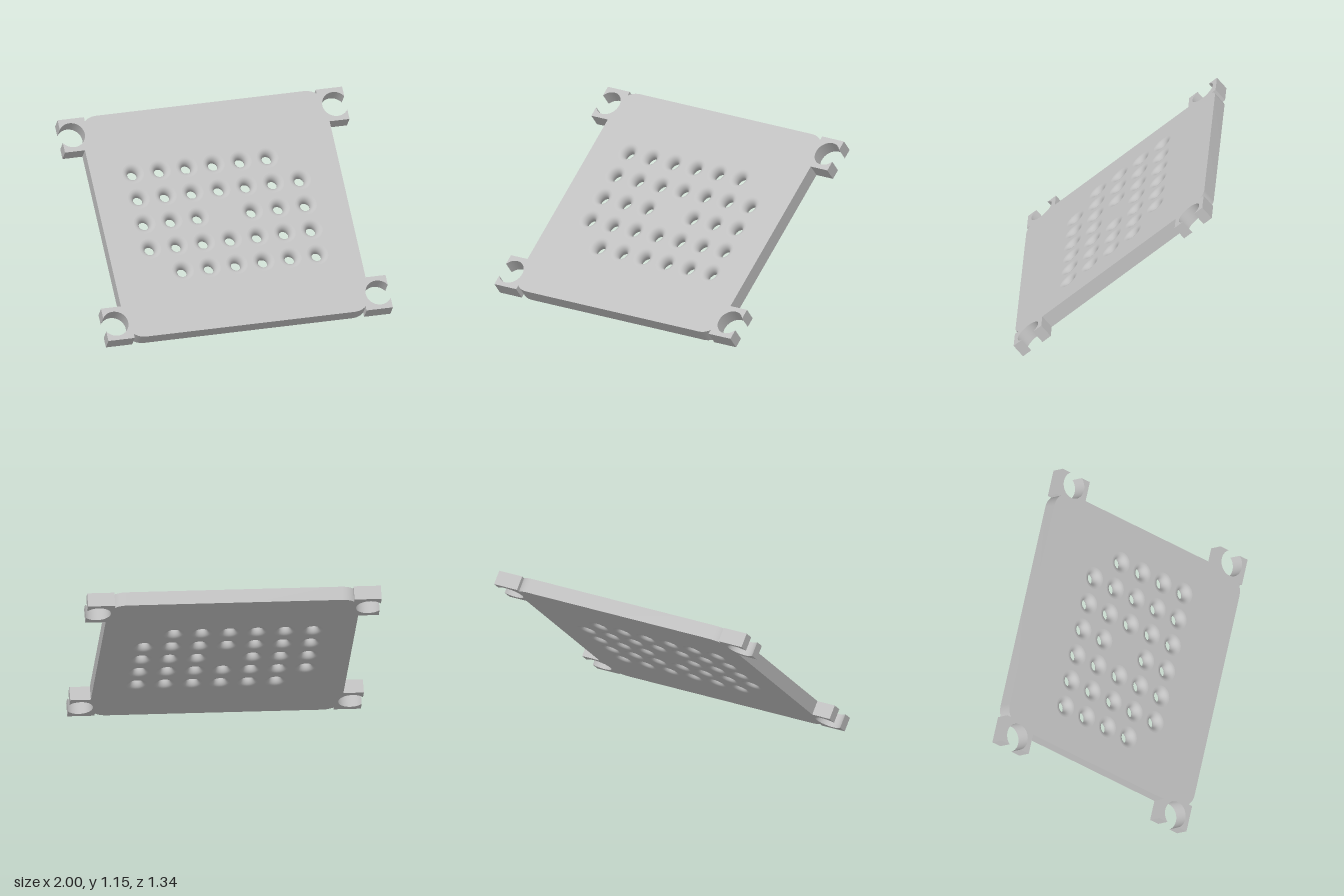
import * as THREE from 'three';
import { toCreasedNormals } from 'three/addons/utils/BufferGeometryUtils.js';

const HALF = 0.835;        // half length of the plate along the slope
const T = 0.05;            // half thickness
const PITCH = 0.189;       // spacing of the small holes
const RIM = 0.075, THROAT = 0.033, SEGMENTS = 24;

// Outline of one corner: rounded plate end, notch, and tab with an open round socket
function cornerOutline() {
  const pts = [];
  for (let i = 0; i <= 6; i++) {
    const a = (i / 6) * Math.PI * 0.3;
    pts.push([0.73 + 0.085 * Math.sin(a) / Math.sin(Math.PI * 0.3),
      HALF - 0.032 * (1 - Math.cos(a)) / (1 - Math.cos(Math.PI * 0.3))]);
  }
  pts.push([0.815, HALF], [1, HALF]);
  const cx = 0.925, cy = HALF - 0.122, r = 0.09, a0 = Math.acos((1 - cx) / r);
  for (let i = 0; i <= 32; i++) {
    const a = a0 + (i / 32) * (2 * Math.PI - 2 * a0);
    pts.push([cx + r * Math.cos(a), cy + r * Math.sin(a)]);
  }
  pts.push([1, HALF - 0.245], [0.86, HALF - 0.245]);
  return pts;
}

// Mirror the corner into a full counter-clockwise outline
function plateOutline() {
  const q = cornerOutline(), rev = [...q].reverse();
  const put = (list, sx, sy) => list.map(([x, y]) => new THREE.Vector2(x * sx, y * sy));
  return [...put(q, 1, 1), ...put(rev, 1, -1), ...put(q, -1, -1), ...put(rev, -1, 1)].reverse();
}

// Grid of 7 x 5 holes without the centre and two opposite corners
function holeCentres() {
  const list = [];
  for (let row = -2; row <= 2; row++) {
    for (let col = -3; col <= 3; col++) {
      const centre = row === 0 && col === 0;
      const corner = (row === 2 && col === 3) || (row === -2 && col === -3);
      if (!centre && !corner) list.push([col * PITCH, row * PITCH]);
    }
  }
  return list;
}

// Flat face with holes; side -1 is the underside
function faceGeometry(outline, holes, side) {
  const shape = new THREE.Shape(outline.map((p) => new THREE.Vector2(p.x * side, p.y)));
  for (const [x, y] of holes) {
    const ring = [];
    for (let i = 0; i < SEGMENTS; i++) {
      const a = (i / SEGMENTS) * Math.PI * 2;
      ring.push(new THREE.Vector2(x * side + RIM * Math.cos(a), y + RIM * Math.sin(a)));
    }
    shape.holes.push(new THREE.Path(ring));
  }
  const g = new THREE.ShapeGeometry(shape);
  if (side < 0) g.rotateY(Math.PI);
  return g.translate(0, 0, T * side);
}

// Wall that follows the outline
function wallGeometry(outline) {
  const pos = [];
  outline.forEach((a, i) => {
    const b = outline[(i + 1) % outline.length];
    pos.push(a.x, a.y, -T, b.x, b.y, -T, b.x, b.y, T);
    pos.push(a.x, a.y, -T, b.x, b.y, T, a.x, a.y, T);
  });
  const g = new THREE.BufferGeometry();
  g.setAttribute('position', new THREE.Float32BufferAttribute(pos, 3));
  return toCreasedNormals(g, 0.5);
}

// Hourglass bore that flares smoothly into both faces
function boreGeometry() {
  const profile = [];
  for (let i = 0; i <= 14; i++) {
    const a = (i / 14) * Math.PI;
    profile.push(new THREE.Vector2(RIM - (RIM - THROAT) * Math.sin(a), T * Math.cos(a)));
  }
  return new THREE.LatheGeometry(profile, SEGMENTS).rotateX(Math.PI / 2);
}

export function createModel() {
  const grey = new THREE.MeshStandardMaterial({ color: 0xc0c0c0 });
  grey.name = 'light grey';
  const model = new THREE.Group();
  model.name = 'perforatedPlate';

  const plate = new THREE.Group();
  plate.name = 'tiltedPlate';
  const add = (geometry, name) => {
    const mesh = new THREE.Mesh(geometry, grey);
    mesh.name = name;
    plate.add(mesh);
    return mesh;
  };

  const outline = plateOutline(), holes = holeCentres();
  add(faceGeometry(outline, holes, 1), 'upperFace');
  add(faceGeometry(outline, holes, -1), 'underside');
  add(wallGeometry(outline), 'edgeWall');
  const bore = boreGeometry();
  for (const [x, y] of holes) add(bore, 'hole').position.set(x, y, 0);

  // Lean the plate back so that it rests on its front edge
  const tilt = THREE.MathUtils.degToRad(50);
  plate.rotation.x = -tilt;
  plate.position.y = HALF * Math.cos(tilt) + T * Math.sin(tilt);
  model.add(plate);
  return model;
}
